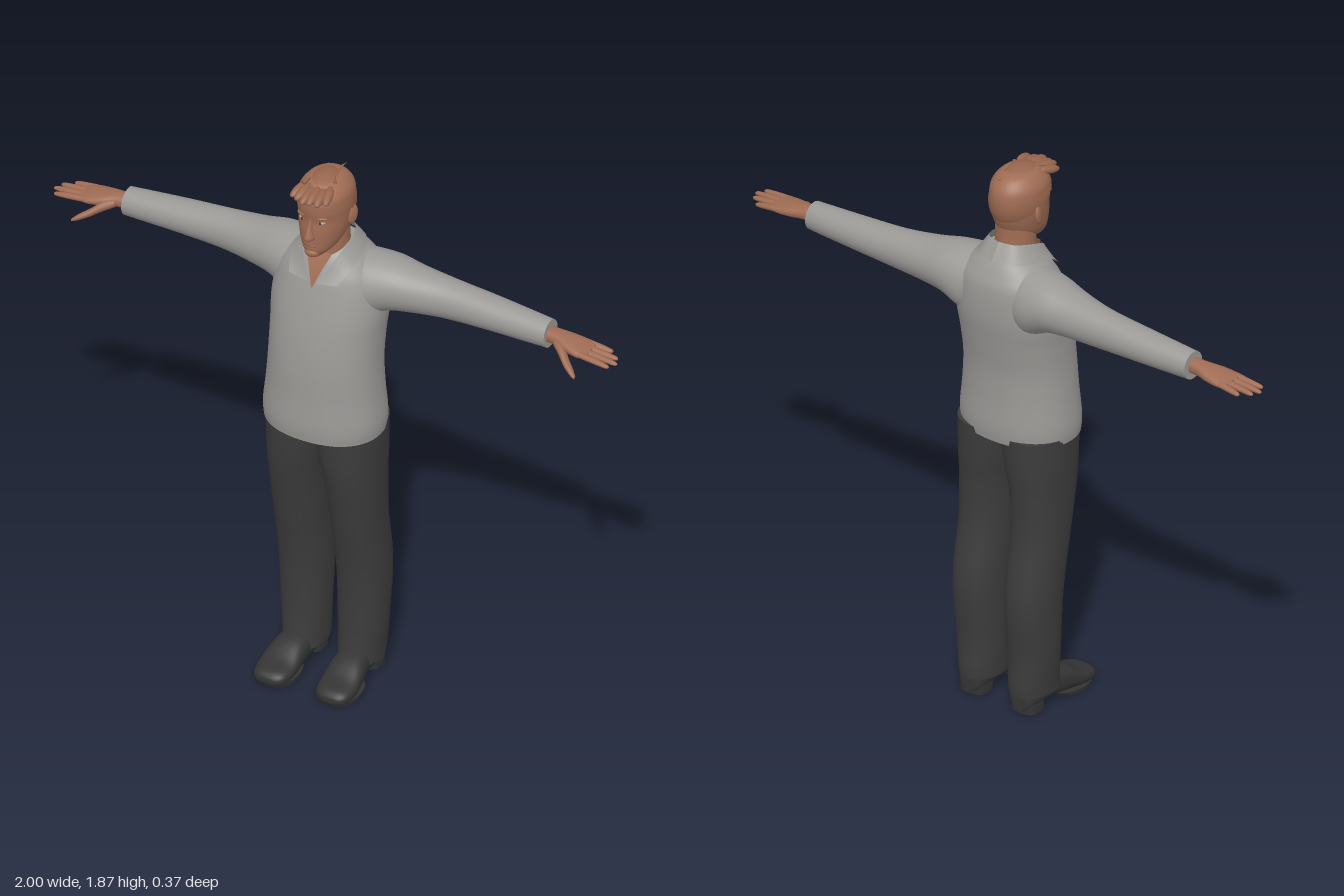
import * as THREE from 'three';

const mat = (name, color, side = THREE.FrontSide) => {
  const m = new THREE.MeshStandardMaterial({ color, side });
  m.name = name;
  return m;
};

// Smooth value of every column of a section table at position s (in sections)
function sample(sections, s) {
  const n = sections.length - 1, i = Math.min(Math.floor(s), n - 1), f = s - i;
  const [a, b, c, d] = [-1, 0, 1, 2].map(k => sections[Math.min(n, Math.max(0, i + k))]);
  return b.map((_, k) => {
    const m0 = (c[k] - a[k]) / 2, m1 = (d[k] - b[k]) / 2, f2 = f * f, f3 = f2 * f;
    return b[k] * (2 * f3 - 3 * f2 + 1) + m0 * (f3 - 2 * f2 + f) + c[k] * (3 * f2 - 2 * f3) + m1 * (f3 - f2);
  });
}

// Closed rounded body along an axis; each section is [t, u0, u1, v0, v1].
// Axis y: u = x, v = z. Axis x: u = z, v = y. Axis z: u = y, v = x.
function loft(axis, sections, seg = 32, steps = 5, power = 1) {
  const place = { y: (t, u, v) => [u, t, v], x: (t, u, v) => [t, v, u], z: (t, u, v) => [v, u, t] }[axis];
  const round = v => Math.sign(v) * Math.abs(v) ** power;
  const pos = [], idx = [], rows = (sections.length - 1) * steps;
  const ring = (t, u0, u1, v0, v1) => {
    for (let j = 0; j < seg; j++) {
      const a = j / seg * Math.PI * 2;
      pos.push(...place(t, (u0 + u1) / 2 + (u1 - u0) / 2 * round(Math.cos(a)),
        (v0 + v1) / 2 + (v1 - v0) / 2 * round(Math.sin(a))));
    }
  };
  for (let i = 0; i <= rows; i++) ring(...sample(sections, i / steps));
  for (let i = 0; i < rows; i++) for (let j = 0; j < seg; j++) {
    const a = i * seg + j, b = i * seg + (j + 1) % seg;
    idx.push(a, a + seg, b, b, a + seg, b + seg);
  }
  // End caps
  [sections[0], sections[sections.length - 1]].forEach((s, end) => {
    const base = pos.length / 3;
    ring(...s);
    pos.push(...place(s[0], (s[1] + s[2]) / 2, (s[3] + s[4]) / 2));
    for (let j = 0; j < seg; j++) {
      const a = base + j, b = base + (j + 1) % seg;
      idx.push(...(end ? [base + seg, b, a] : [base + seg, a, b]));
    }
  });
  return build(pos, idx);
}

function build(pos, idx) {
  const g = new THREE.BufferGeometry();
  g.setAttribute('position', new THREE.Float32BufferAttribute(pos, 3));
  g.setIndex(idx);
  g.computeVertexNormals();
  return g;
}

// Sheet spanned between two curves
function sheet(edgeA, edgeB, n = 20, m = 4) {
  const [A, B] = [edgeA, edgeB].map(e => new THREE.CatmullRomCurve3(e.map(p => new THREE.Vector3(...p))));
  const pos = [], idx = [];
  for (let i = 0; i <= n; i++) for (let j = 0; j <= m; j++)
    pos.push(...A.getPoint(i / n).lerp(B.getPoint(i / n), j / m).toArray());
  for (let i = 0; i < n; i++) for (let j = 0; j < m; j++) {
    const a = i * (m + 1) + j, b = a + m + 1;
    idx.push(a, b, a + 1, a + 1, b, b + 1);
  }
  return build(pos, idx);
}

export function createModel() {
  const skin = mat('skin', 0xa06c54), hair = mat('hair', 0x97654d), lip = mat('lip', 0x8a5546);
  const shirt = mat('shirt grey', 0x9b9996), collarCloth = mat('collar grey', 0x9b9996, THREE.DoubleSide);
  const cloth = mat('trouser charcoal', 0x3c3c3c), leather = mat('shoe black', 0x343434);
  const eyeWhite = mat('eye', 0xa39c94), iris = mat('iris', 0x3a2a22);
  const model = new THREE.Group();
  const add = (parent, name, geometry, material) => {
    const m = new THREE.Mesh(geometry, material);
    m.name = name;
    parent.add(m);
    return m;
  };
  const blob = (parent, name, material, p, r) => {
    const m = add(parent, name, new THREE.SphereGeometry(1, 20, 14), material);
    m.position.set(...p);
    m.scale.set(...r);
    return m;
  };

  // Shirt body
  add(model, 'shirtBody', loft('y', [
    [0.95, -0.197, 0.197, -0.152, 0.152], [1.0, -0.2, 0.2, -0.157, 0.156], [1.1, -0.19, 0.19, -0.153, 0.15],
    [1.2, -0.184, 0.184, -0.155, 0.145], [1.3, -0.185, 0.185, -0.17, 0.132], [1.4, -0.19, 0.19, -0.185, 0.11],
    [1.5, -0.175, 0.175, -0.182, 0.08], [1.55, -0.14, 0.14, -0.163, 0.058], [1.59, -0.095, 0.095, -0.138, 0.033],
    [1.61, -0.07, 0.07, -0.115, 0.01]], 48, 6, 0.9), shirt);

  // Neck and open shirt front
  add(model, 'neck', loft('y', [[1.52, -0.07, 0.07, -0.11, 0.045], [1.62, -0.063, 0.063, -0.096, 0.04],
    [1.7, -0.06, 0.06, -0.095, 0.03]]), skin);
  add(model, 'openNeck', sheet(
    [[-0.002, 1.49, 0.09], [-0.02, 1.54, 0.07], [-0.045, 1.6, 0.04]],
    [[0.002, 1.49, 0.09], [0.02, 1.54, 0.07], [0.045, 1.6, 0.04]], 8, 4).scale(1, 1, 1), mat('neck skin', 0xa06c54, THREE.DoubleSide));

  // Head
  const head = new THREE.Group();
  head.name = 'head';
  model.add(head);
  add(head, 'skull', loft('y', [
    [1.607, -0.022, 0.022, 0.035, 0.085], [1.63, -0.048, 0.048, -0.03, 0.1], [1.66, -0.066, 0.066, -0.078, 0.102],
    [1.7, -0.077, 0.077, -0.102, 0.102], [1.74, -0.083, 0.083, -0.113, 0.099], [1.78, -0.086, 0.086, -0.117, 0.104],
    [1.82, -0.083, 0.083, -0.11, 0.1], [1.85, -0.063, 0.063, -0.085, 0.072], [1.863, -0.04, 0.04, -0.055, 0.045],
    [1.869, -0.003, 0.003, -0.01, 0]], 40, 5), skin);
  add(head, 'nose', loft('y', [
    [1.677, -0.01, 0.01, 0.08, 0.108], [1.688, -0.017, 0.017, 0.08, 0.126], [1.71, -0.011, 0.011, 0.08, 0.12],
    [1.745, -0.007, 0.007, 0.075, 0.105], [1.765, -0.009, 0.009, 0.07, 0.1]], 16, 4), skin);
  blob(head, 'upperLip', lip, [0, 1.661, 0.098], [0.024, 0.004, 0.009]);
  blob(head, 'lowerLip', lip, [0, 1.653, 0.097], [0.02, 0.004, 0.009]);
  blob(head, 'chin', skin, [0, 1.625, 0.084], [0.026, 0.018, 0.022]);
  for (const s of [-1, 1]) {
    blob(head, 'eye', eyeWhite, [s * 0.032, 1.743, 0.083], [0.014, 0.006, 0.012]);
    blob(head, 'iris', iris, [s * 0.032, 1.743, 0.091], [0.005, 0.005, 0.005]);
    blob(head, 'eyebrow', hair, [s * 0.034, 1.761, 0.089], [0.02, 0.005, 0.009]).rotation.y = s * 0.3;
    const ear = blob(head, 'ear', skin, [s * 0.085, 1.73, -0.02], [0.009, 0.034, 0.021]);
    ear.rotation.set(-0.15, s * -0.3, 0);
  }

  // Hair: tilted cap, swept fringe and loose tufts
  const cap = add(head, 'hairCap', new THREE.SphereGeometry(1, 36, 18, 0, Math.PI * 2, 0, Math.PI * 0.5), hair);
  cap.geometry.rotateX(-0.45).scale(0.09, 0.11, 0.118);
  cap.position.set(0, 1.764, -0.002);
  for (let i = 0; i < 6; i++) {
    const x = -0.05 + i * 0.02;
    blob(head, 'fringeLock', hair, [x, 1.838 + 0.004 * (i % 2), 0.098 - x * x * 9], [0.016, 0.014, 0.042])
      .rotation.set(0.25, x * 5, 0);
  }
  for (let i = 0; i < 7; i++) {
    const tuft = add(head, 'tuft', new THREE.ConeGeometry(0.008, 0.04, 6), hair);
    tuft.position.set(-0.035 + (i * 3 % 7) * 0.012, 1.862 - (i > 4 ? 0.012 : 0), 0.05 - i * 0.022);
    tuft.rotation.set(-1.25, 0, 0.4 * (i % 3 - 1));
  }

  // Left half, then its mirror
  const fingers = [['indexFinger', -0.043, -0.037, 0.985], ['middleFinger', -0.067, -0.064, 1.0],
    ['ringFinger', -0.091, -0.091, 0.988], ['littleFinger', -0.115, -0.119, 0.955]];
  for (const side of [1, -1]) {
    const half = new THREE.Group();
    half.name = side > 0 ? 'leftSide' : 'rightSide';
    half.scale.x = side;
    model.add(half);

    // Sleeve and collar
    add(half, 'sleeve', loft('x', [
      [0.05, -0.15, 0.03, 1.36, 1.575], [0.12, -0.175, 0.04, 1.345, 1.573], [0.2, -0.175, 0.018, 1.385, 1.566],
      [0.28, -0.165, -0.005, 1.397, 1.55], [0.4, -0.156, -0.03, 1.404, 1.535], [0.55, -0.15, -0.036, 1.41, 1.522],
      [0.68, -0.14, -0.04, 1.412, 1.512], [0.75, -0.133, -0.043, 1.413, 1.507]], 36, 6), shirt);
    add(half, 'collar', sheet(
      [[0, 1.645, -0.113], [0.05, 1.642, -0.095], [0.075, 1.63, -0.04], [0.062, 1.595, 0.035], [0.012, 1.508, 0.09]],
      [[0, 1.59, -0.148], [0.07, 1.588, -0.128], [0.108, 1.582, -0.06], [0.108, 1.56, 0.025], [0.086, 1.515, 0.08]]), collarCloth);

    // Hand
    add(half, 'palm', loft('x', [
      [0.72, -0.112, -0.06, 1.435, 1.485], [0.78, -0.115, -0.055, 1.437, 1.482], [0.82, -0.124, -0.04, 1.434, 1.475],
      [0.87, -0.128, -0.03, 1.433, 1.465], [0.9, -0.122, -0.036, 1.438, 1.457]], 24, 4, 0.85), skin);
    for (const [name, z0, z1, tip] of fingers) {
      const at = (f, r) => {
        const x = 0.875 + (tip - 0.875) * f, z = z0 + (z1 - z0) * f, y = 1.45 - 0.01 * f;
        return [x, z - r, z + r, y - r * 0.85, y + r * 0.85];
      };
      add(half, name, loft('x', [at(0, 0.012), at(0.5, 0.011), at(0.85, 0.009), at(0.96, 0.006), at(1, 0.001)], 12, 3), skin);
    }
    add(half, 'thumb', loft('x', [
      [0.78, -0.085, -0.05, 1.44, 1.468], [0.815, -0.065, -0.022, 1.425, 1.46], [0.845, -0.034, 0.002, 1.412, 1.44],
      [0.875, -0.008, 0.018, 1.401, 1.422], [0.892, 0.01, 0.022, 1.398, 1.408]], 14, 4), skin);

    // Trouser leg
    add(half, 'trouserLeg', loft('y', [
      [0.06, 0.03, 0.166, -0.15, 0.037], [0.1, 0.028, 0.169, -0.152, 0.03], [0.2, 0.024, 0.178, -0.15, 0.024],
      [0.4, 0.02, 0.185, -0.165, 0.034], [0.6, 0.018, 0.187, -0.135, 0.07], [0.75, 0.01, 0.19, -0.134, 0.1],
      [0.85, -0.008, 0.193, -0.143, 0.115], [0.97, -0.03, 0.195, -0.148, 0.122]], 36, 6, 0.92), cloth);

    // Shoe
    add(half, 'shoe', loft('z', [
      [-0.14, 0.012, 0.065, 0.075, 0.125], [-0.12, 0.008, 0.09, 0.055, 0.145], [-0.02, 0.012, 0.112, 0.05, 0.152],
      [0.05, 0.008, 0.1, 0.046, 0.165], [0.11, 0.004, 0.066, 0.045, 0.173], [0.16, 0.002, 0.052, 0.054, 0.166],
      [0.18, 0.008, 0.038, 0.075, 0.148], [0.185, 0.018, 0.026, 0.1, 0.125]], 28, 5, 0.8), leather);
    add(half, 'heel', loft('y', [[0, 0.055, 0.147, -0.137, -0.055], [0.03, 0.055, 0.147, -0.138, -0.05]], 24, 2, 0.6), leather);
    add(half, 'sole', loft('y', [[0, 0.046, 0.172, 0.02, 0.175], [0.014, 0.045, 0.174, 0.01, 0.182]], 28, 2, 0.85), leather);
  }
  return model;
}
